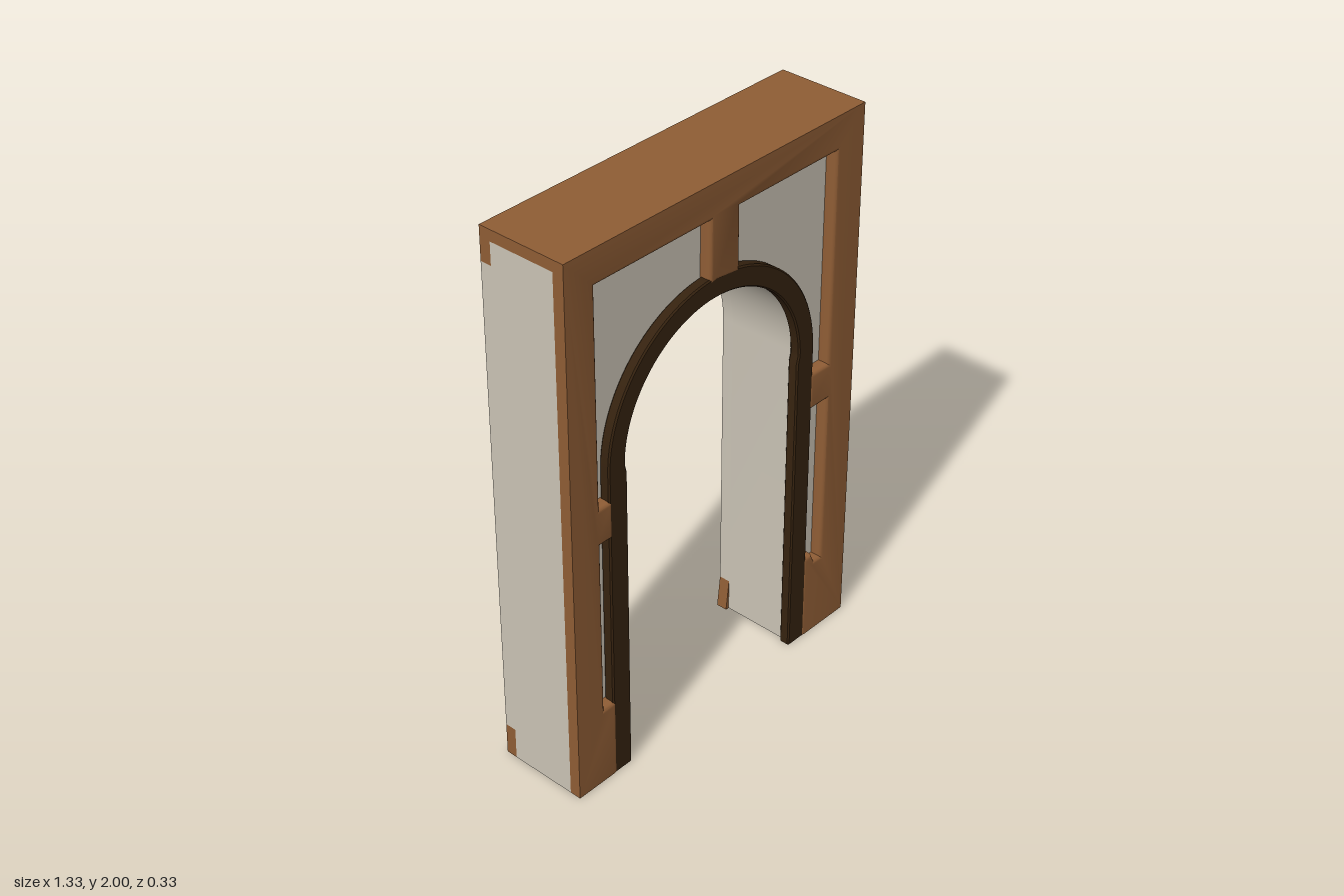
import * as THREE from 'three';
import { toCreasedNormals } from 'three/addons/utils/BufferGeometryUtils.js';

const W = 0.665, D = 0.167, T = 0.042;   // half width, half depth, facing thickness
const CX = -0.02, SPRING = 1.195;        // arch centre
const INNER = 0.412;                     // opening radius in the plaster

function material(name, color) {
  const m = new THREE.MeshStandardMaterial({ color });
  m.name = name;
  return m;
}

export function createModel() {
  const group = new THREE.Group();
  const wood = material('brown wood', 0x8f5d35);
  const plaster = material('pale plaster', 0xcac3b5);
  const dark = material('dark trim', 0x35220f);

  const add = (name, geometry, mat) => {
    const mesh = new THREE.Mesh(geometry, mat);
    mesh.name = name;
    group.add(mesh);
    return mesh;
  };
  const box = (x0, x1, y0, y1, z0, z1) =>
    new THREE.BoxGeometry(x1 - x0, y1 - y0, z1 - z0)
      .translate((x0 + x1) / 2, (y0 + y1) / 2, (z0 + z1) / 2);

  // Wall slab with an arched opening
  const slab = (y0, y1, z0, z1) => {
    const s = new THREE.Shape();
    s.moveTo(-W, y0);
    s.lineTo(CX - INNER, y0);
    s.lineTo(CX - INNER, SPRING);
    s.absarc(CX, SPRING, INNER, Math.PI, 0, true);
    s.lineTo(CX + INNER, y0);
    s.lineTo(W, y0);
    s.lineTo(W, y1);
    s.lineTo(-W, y1);
    s.closePath();
    const g = new THREE.ExtrudeGeometry(s, { depth: z1 - z0, bevelEnabled: false, curveSegments: 40 });
    return toCreasedNormals(g.translate(0, 0, z0), 0.5);
  };
  add('wallCore', slab(0, 1.96, -D + T, D - T), plaster);
  add('wallBack', slab(0.12, 1.88, -D, -D + T), plaster);

  // Top cap and rear cornice
  add('topCap', box(-W, W, 1.96, 2, -D + T, D - T), wood);
  add('rearCornice', box(-W, W, 1.88, 2, -D, -D + T), wood);

  // Rear skirting, slightly flared into the opening
  for (const side of [-1, 1]) {
    const edge = CX + side * INNER;
    const g = box(Math.min(edge, side * W), Math.max(edge, side * W), 0, 0.12, -D, -D + T);
    const p = g.attributes.position;
    for (let i = 0; i < p.count; i++) {
      if (p.getY(i) < 0.01 && Math.abs(p.getX(i)) < 0.5) p.setX(i, p.getX(i) - side * 0.014);
    }
    g.computeVertexNormals();
    add(side < 0 ? 'rightSkirting' : 'leftSkirting', g, [wood, wood, wood, plaster, wood, wood]);
  }

  // Front frame around the recessed panels, rounded only along the inner edges
  const outline = [
    [-W, 0], [-0.485, 0], [-0.485, 0.3], [-0.54, 0.3], [-0.54, 0.955], [-0.485, 0.955],
    [-0.485, 1.095], [-0.54, 1.095], [-0.54, 1.875], [-0.05, 1.875], [-0.05, 1.655],
    [CX, 1.66], [0.085, 1.648], [0.085, 1.875], [0.535, 1.875], [0.535, 1.095],
    [0.445, 1.095], [0.445, 0.955], [0.535, 0.955], [0.535, 0.3], [0.505, 0.3],
    [0.49, 0.335], [0.445, 0.335], [0.445, 0], [W, 0], [W, 2], [-W, 2],
  ].map(([x, y]) => new THREE.Vector2(x, y));
  const b = 0.015;
  const frame = new THREE.ExtrudeGeometry(new THREE.Shape(outline), {
    depth: 0.06, bevelSize: b, bevelThickness: b, bevelOffset: -b, bevelSegments: 4,
  }).translate(0, 0, D - 0.06 - b);
  const fp = frame.attributes.position;
  for (let i = 0; i < fp.count; i++) {
    const x = fp.getX(i), y = fp.getY(i);
    if (Math.abs(x) > 0.63) fp.setX(i, Math.sign(x) * W);
    if (y > 1.96) fp.setY(i, 2);
    if (y < 0.04) fp.setY(i, 0);
    fp.setZ(i, Math.max(fp.getZ(i), D - T));
  }
  frame.computeVertexNormals();
  add('frontFrame', toCreasedNormals(frame, 0.6), wood);

  // Dark trim following the arch
  const s = new THREE.Shape();
  const legIn = 0.3975, archIn = 0.405, out = 0.479;
  s.moveTo(CX - out, 0);
  s.lineTo(CX - legIn, 0);
  s.lineTo(CX - legIn, SPRING - 0.03);
  s.lineTo(CX - archIn, SPRING);
  s.absarc(CX, SPRING, archIn, Math.PI, 0, true);
  s.lineTo(CX + legIn, SPRING - 0.03);
  s.lineTo(CX + legIn, 0);
  s.lineTo(CX + out, 0);
  s.lineTo(CX + out, SPRING);
  s.absarc(CX, SPRING, out, 0, Math.PI, false);
  s.closePath();
  const c = 0.005;
  const trim = new THREE.ExtrudeGeometry(s, {
    depth: T - 0.002 - 2 * c, bevelSize: c, bevelThickness: c, bevelOffset: -c,
    bevelSegments: 1, curveSegments: 40,
  }).translate(0, 0, D - T + c);
  const tp = trim.attributes.position;
  for (let i = 0; i < tp.count; i++) if (tp.getY(i) < 0.02) tp.setY(i, 0);
  trim.computeVertexNormals();
  add('archTrim', toCreasedNormals(trim, 0.5), dark);

  return group;
}
